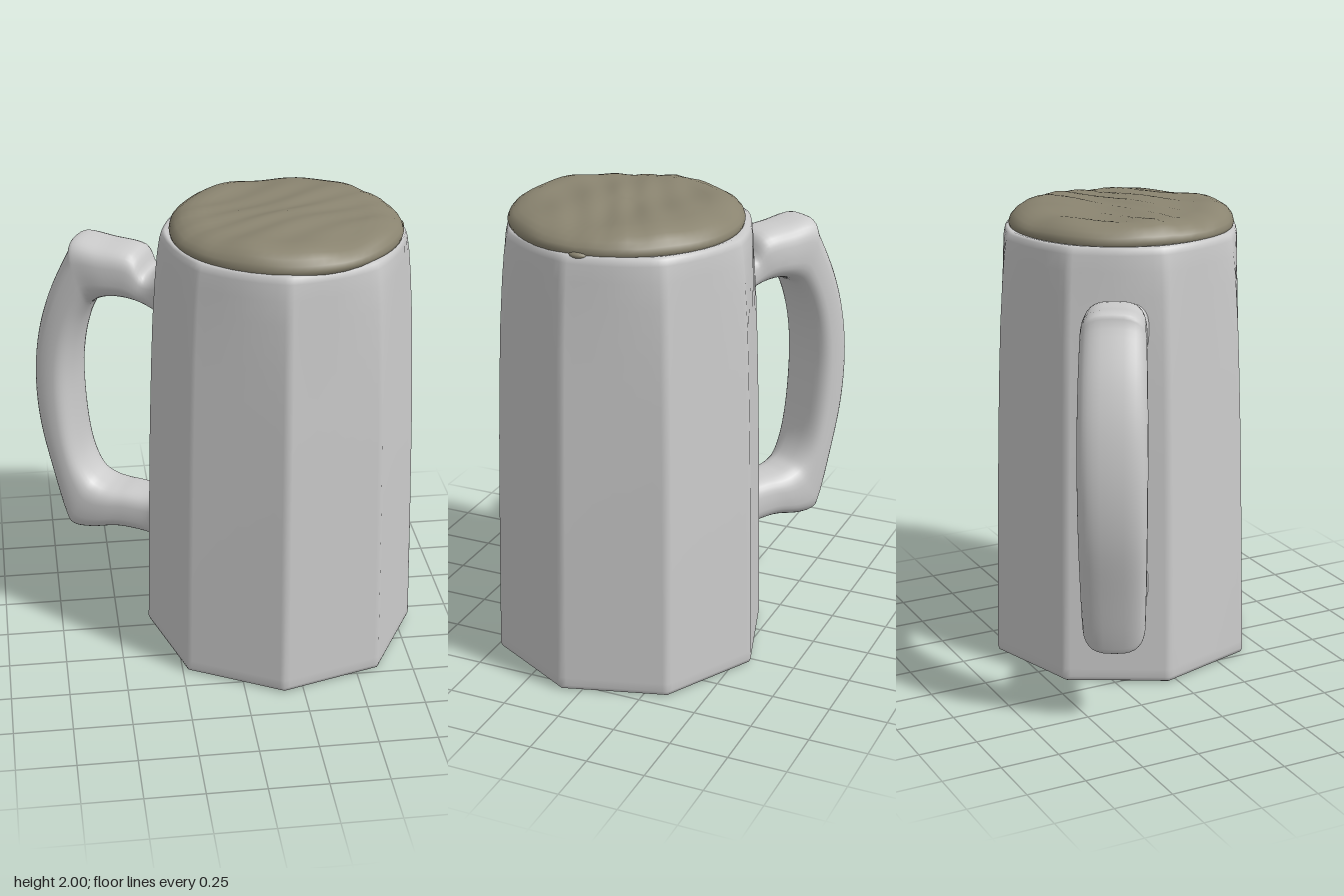
import * as THREE from 'three';

const CX = 0.226, CZ = 0.02;               // mug axis
const TURN = THREE.MathUtils.degToRad(5.9); // first corner of the octagon
const STEP = Math.PI / 4;

// Skin a list of closed rings of points, all with the same count.
function skin(rings) {
  const n = rings[0].length, index = [];
  for (let i = 0; i < rings.length - 1; i++) {
    for (let j = 0; j < n; j++) {
      const k = (j + 1) % n;
      const a = i * n + j, b = a + n, c = i * n + k, d = c + n;
      index.push(a, b, c, c, b, d);
    }
  }
  const geo = new THREE.BufferGeometry().setFromPoints(rings.flat());
  geo.setIndex(index);
  geo.computeVertexNormals();
  return geo;
}

// Eight-sided body, rows of [height, radius at face middle, radius at corner].
function bodyGeometry() {
  const rows = [
    [0, 0.001, 0.001], [0, 0.5, 0.545], [0, 0.525, 0.57], [0.007, 0.538, 0.583], [0.025, 0.545, 0.59],
    [0.06, 0.544, 0.589], [0.5, 0.535, 0.58], [1, 0.524, 0.567], [1.3, 0.514, 0.556], [1.5, 0.508, 0.547],
    [1.7, 0.503, 0.533], [1.8, 0.501, 0.523], [1.87, 0.499, 0.512], [1.895, 0.494, 0.504],
    [1.904, 0.483, 0.489], [1.9, 0.46, 0.46], [1.89, 0.001, 0.001],
  ];
  // samples crowd at the corners to keep the edges tight but soft
  const offsets = [-22.5, -20.5, -17, -9, 0, 9, 17, 20.5].map(THREE.MathUtils.degToRad);
  const bulge = (a) => (1 / Math.cos(a) - 1) / (1 / Math.cos(STEP / 2) - 1);
  return skin(rows.map(([y, mid, corner]) => {
    const ring = [];
    for (let f = 0; f < 8; f++) {
      for (const o of offsets) {
        const a = TURN + (f + 0.5) * STEP + o;
        const r = mid + (corner - mid) * bulge(o);
        ring.push(new THREE.Vector3(CX + r * Math.cos(a), y, CZ + r * Math.sin(a)));
      }
    }
    return ring;
  }));
}

// Lumpy foam dome, rows of [height, radius].
function foamGeometry() {
  const rows = [[1.88, 0.44], [1.895, 0.478], [1.915, 0.483], [1.935, 0.476], [1.955, 0.458],
    [1.972, 0.43], [1.982, 0.395], [1.986, 0.36]];
  for (let i = 1; i <= 14; i++) rows.push([1.986, 0.36 * (1 - i / 14) + 0.0005]);
  const lump = (x, z) => 0.006 * Math.sin(9 * x + 5 * z + 1) + 0.004 * Math.sin(17 * z - 6 * x)
    + 0.0035 * Math.sin(23 * x + 13 * Math.sin(4 * z));
  return skin(rows.map(([y, r]) => {
    const ring = [];
    for (let j = 0; j < 72; j++) {
      const a = (j / 72) * Math.PI * 2;
      const x = r * Math.cos(a), z = r * Math.sin(a);
      const fade = THREE.MathUtils.smoothstep(y, 1.9, 1.98);
      const wobble = 1 + 0.006 * Math.sin(5 * a + 1) * (r > 0.3 ? 1 : 0);
      ring.push(new THREE.Vector3(CX + 0.006 + x * wobble, y + fade * lump(x, z), CZ + 0.01 + z * wobble));
    }
    return ring;
  }));
}

// Handle stations: outer distance and height, inner distance and height, half width.
function handleGeometry() {
  const stations = [
    [0.46, 1.72, 0.46, 1.37, 0.16], [0.53, 1.66, 0.53, 1.45, 0.12], [0.6, 1.635, 0.61, 1.49, 0.107],
    [0.65, 1.72, 0.7, 1.505, 0.122], [0.8, 1.735, 0.77, 1.5, 0.132], [0.93, 1.745, 0.83, 1.475, 0.132],
    [0.96, 1.69, 0.87, 1.44, 0.134], [1.05, 1.5, 0.915, 1.35, 0.138], [1.11, 1.3, 0.95, 1.22, 0.14],
    [1.135, 1.08, 0.965, 1.06, 0.14], [1.12, 0.85, 0.955, 0.85, 0.138], [1.06, 0.58, 0.93, 0.7, 0.134],
    [1.01, 0.38, 0.88, 0.605, 0.13], [0.98, 0.33, 0.82, 0.57, 0.128], [0.89, 0.33, 0.76, 0.56, 0.122],
    [0.75, 0.36, 0.7, 0.56, 0.112], [0.6, 0.355, 0.6, 0.56, 0.11], [0.54, 0.335, 0.54, 0.58, 0.13],
    [0.46, 0.3, 0.46, 0.63, 0.165],
  ];
  const rail = (pick) => new THREE.CatmullRomCurve3(stations.map(pick), false, 'catmullrom', 0.5);
  const outer = rail((s) => new THREE.Vector3(s[0], s[1], s[4]));
  const inner = rail((s) => new THREE.Vector3(s[2], s[3], s[4]));
  const dir = TURN + 4.5 * STEP; // middle of one face
  const c = Math.cos(dir), s = Math.sin(dir);
  const square = (v) => Math.sign(v) * Math.abs(v) ** 0.68;
  const rings = [];
  for (let i = 0; i <= 90; i++) {
    const o = outer.getPoint(i / 90), n = inner.getPoint(i / 90), ring = [];
    for (let j = 0; j < 32; j++) {
      const a = (j / 32) * Math.PI * 2;
      const p = n.clone().lerp(o, 0.5 + 0.5 * square(Math.cos(a)));
      const w = o.z * square(Math.sin(a));
      ring.push(new THREE.Vector3(CX + p.x * c + w * s, p.y, CZ + p.x * s - w * c));
    }
    rings.push(ring);
  }
  return skin(rings);
}

export function createModel() {
  const group = new THREE.Group();
  group.name = 'mug';
  const grey = new THREE.MeshStandardMaterial({ color: 0xcccccc });
  const foamColor = new THREE.MeshStandardMaterial({ color: 0x8a8470 });
  const add = (name, geometry, material) => {
    const mesh = new THREE.Mesh(geometry, material);
    mesh.name = name;
    group.add(mesh);
    return mesh;
  };
  add('body', bodyGeometry(), grey);
  add('handle', handleGeometry(), grey);
  add('foam', foamGeometry(), foamColor);
  // small drip over the rim
  const drip = add('foamDrip', new THREE.SphereGeometry(0.03, 16, 12), foamColor);
  drip.scale.set(0.8, 0.5, 1.3);
  drip.position.set(CX + 0.48, 1.9, CZ);
  return group;
}
